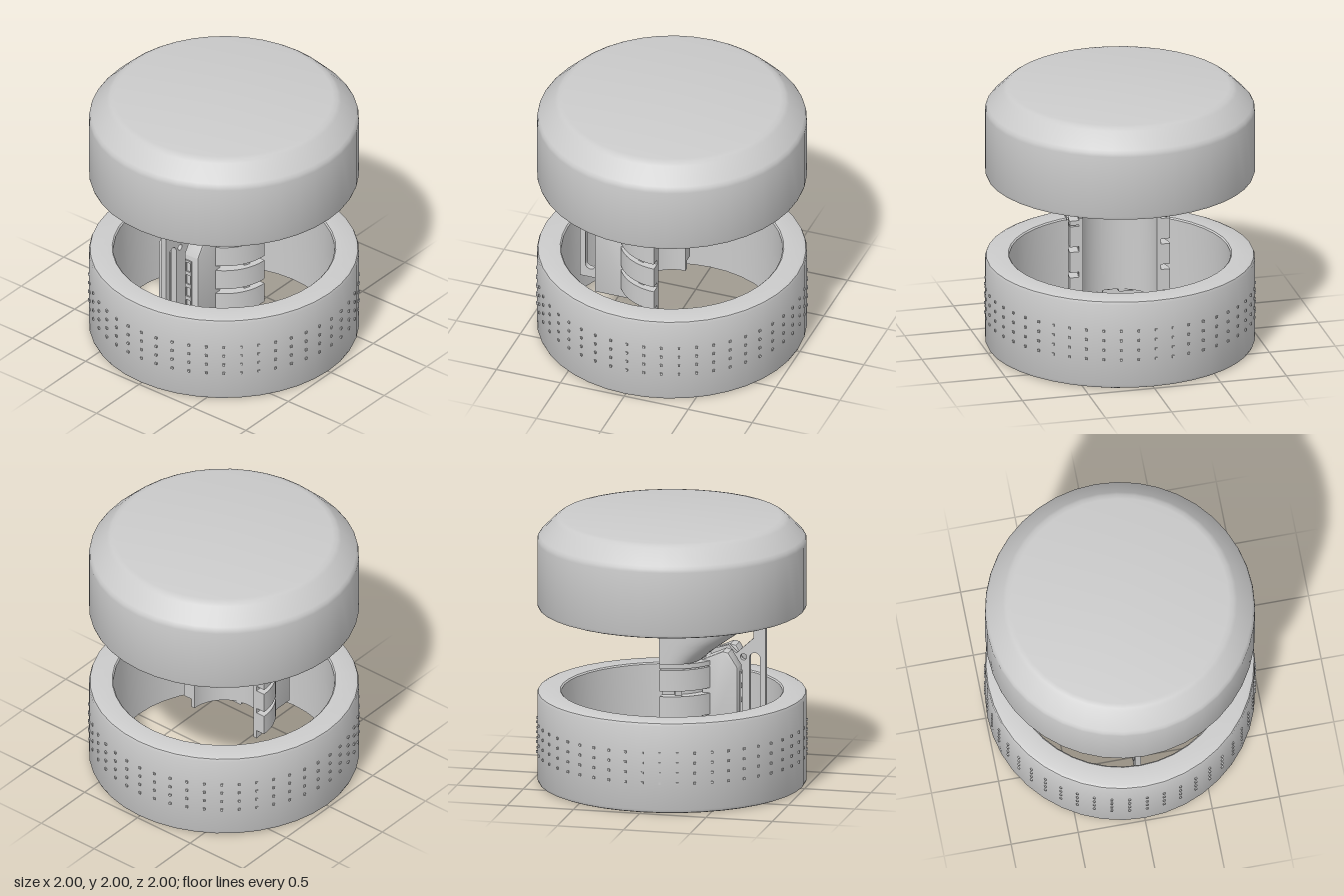
import * as THREE from 'three';
import { toCreasedNormals } from 'three/addons/utils/BufferGeometryUtils.js';

const mat = new THREE.MeshStandardMaterial({ color: 0xcccccc, side: THREE.DoubleSide });
const SEGMENTS = 40;

function add(parent, name, geometry) {
  const mesh = new THREE.Mesh(geometry, mat);
  mesh.name = name;
  parent.add(mesh);
  return mesh;
}

function lathe(profile, start = 0, sweep = Math.PI * 2, segments = SEGMENTS) {
  const pts = profile.map(([r, y]) => new THREE.Vector2(r, y));
  return toCreasedNormals(new THREE.LatheGeometry(pts, segments, start, sweep), 0.75);
}

const polygon = (pts) => new THREE.Shape(pts.map(([a, b]) => new THREE.Vector2(a, b)));

// Side profile given as (z, y), extruded along x and centred on the given x
function sidePlate(shape, thickness, x = 0, bevel = 0) {
  const g = new THREE.ExtrudeGeometry(shape, {
    depth: thickness - 2 * bevel, curveSegments: 8, bevelEnabled: bevel > 0,
    bevelSize: bevel, bevelThickness: bevel, bevelOffset: -bevel, bevelSegments: 2,
  });
  g.translate(0, 0, -thickness / 2 + bevel);
  g.rotateY(-Math.PI / 2);
  g.translate(x, 0, 0);
  return g;
}

// Half annulus on the front side, between two heights
function halfBand(outer, inner, y0, y1) {
  const s = new THREE.Shape();
  s.absarc(0, 0, outer, 0, Math.PI, false);
  s.absarc(0, 0, inner, Math.PI, 0, true);
  s.closePath();
  const g = new THREE.ExtrudeGeometry(s, { depth: y1 - y0, bevelEnabled: false, curveSegments: 20 });
  g.rotateX(Math.PI / 2);
  g.translate(0, y1, 0);
  return toCreasedNormals(g, 0.6);
}

// Half shell lofted through [y, halfWidth, depth] cross-sections
function halfFunnel(sections, n = 24) {
  const pos = [], index = [];
  for (const [y, w, d] of sections) {
    for (let i = 0; i <= n; i++) {
      const t = (i / n) * Math.PI, c = Math.cos(t);
      pos.push(w * Math.sign(c) * Math.abs(c) ** 0.6, y, d * Math.sin(t) ** 0.7);
    }
  }
  for (let j = 0; j < sections.length - 1; j++) {
    for (let i = 0; i < n; i++) {
      const a = j * (n + 1) + i, b = a + n + 1;
      index.push(a, b, a + 1, b, b + 1, a + 1);
    }
  }
  const g = new THREE.BufferGeometry();
  g.setAttribute('position', new THREE.Float32BufferAttribute(pos, 3));
  g.setIndex(index);
  g.computeVertexNormals();
  return g;
}

export function createModel() {
  const model = new THREE.Group();
  model.name = 'model';

  // Lower open ring
  add(model, 'lowerRing', lathe([
    [0.81, 0], [0.96, 0], [0.98, 0.008], [0.99, 0.03], [0.99, 0.66],
    [0.982, 0.68], [0.96, 0.69], [0.82, 0.69], [0.81, 0.68], [0.81, 0],
  ]));

  // Rows of small studs around the ring
  const studs = new THREE.Group();
  studs.name = 'ringStuds';
  model.add(studs);
  const studGeometry = new THREE.BoxGeometry(0.017, 0.017, 0.02);
  for (const y of [0.23, 0.305, 0.38, 0.455]) {
    for (let i = 0; i < 48; i++) {
      const a = (i / 48) * Math.PI * 2 + 0.016;
      const stud = add(studs, 'stud', studGeometry);
      stud.position.set(Math.sin(a) * 0.988, y, Math.cos(a) * 0.988);
      stud.rotation.y = a;
    }
  }

  // Upper cap, hollow underneath
  add(model, 'upperCap', lathe([
    [0, 1.63], [0.81, 1.63], [0.81, 1.33], [0.82, 1.32], [0.96, 1.32], [0.982, 1.328],
    [0.99, 1.35], [0.99, 1.82], [0.985, 1.845], [0.97, 1.865], [0.86, 1.975],
    [0.835, 1.993], [0.8, 2], [0, 2],
  ].slice()));

  const core = new THREE.Group();
  core.name = 'core';
  model.add(core);

  // Half flange under the cap
  add(core, 'flange', lathe([
    [0, 1.28], [0.64, 1.28], [0.685, 1.315], [0.685, 1.34], [0, 1.34],
  ], -Math.PI / 2, Math.PI, 24));

  // Funnel, open at the back
  add(core, 'funnel', halfFunnel([
    [0.98, 0.4, 0.27], [1.04, 0.4, 0.34], [1.12, 0.4, 0.45],
    [1.19, 0.4, 0.55], [1.24, 0.4, 0.57], [1.28, 0.4, 0.57],
  ]));
  // Sloping shoulders joining funnel and flange
  for (const s of [-1, 1]) {
    const shoulder = add(core, 'funnelShoulder', new THREE.ExtrudeGeometry(
      polygon([[0.39 * s, 1.24], [0.64 * s, 1.28], [0.39 * s, 1.28]]),
      { depth: 0.12, bevelEnabled: false }));
    shoulder.position.z = 0.001;
  }

  // Stack of half bands around a thin liner
  add(core, 'liner', halfBand(0.31, 0.28, 0.3, 0.99));
  for (const y of [0.37, 0.57, 0.77]) add(core, 'band', halfBand(0.38, 0.3, y, y + 0.16));
  add(core, 'topBand', halfBand(0.38, 0.3, 0.94, 0.975));
  for (const a of [0.12, 0.5, 0.88]) {
    const t = a * Math.PI;
    const key = add(core, 'bandKey', new THREE.BoxGeometry(0.05, 0.66, 0.05));
    key.position.set(Math.cos(t) * 0.315, 0.64, Math.sin(t) * 0.315);
    key.rotation.y = -t;
  }

  // Pair of front arms with framed windows
  const armShape = polygon([
    [0.27, 0.28], [0.54, 0.28], [0.54, 0.93], [0.47, 1.04], [0.43, 1.05], [0.27, 0.98],
  ]);
  for (const s of [-1, 1]) {
    add(core, 'frontArm', toCreasedNormals(sidePlate(armShape, 0.13, s * 0.12, 0.015), 0.6));
    for (let i = 0; i < 5; i++) {
      const y = 0.35 + i * 0.108;
      const frame = polygon([[-0.028, 0], [0.028, 0], [0.028, 0.108], [-0.028, 0.108]]);
      frame.holes.push(polygon([[-0.018, 0.012], [-0.018, 0.09], [0.018, 0.09], [0.018, 0.012]]));
      const mesh = add(core, 'armWindow', new THREE.ExtrudeGeometry(frame, { depth: 0.015, bevelEnabled: false }));
      mesh.position.set(s * 0.1, y, 0.535);
    }
  }

  // Thin centre rib with a long slot and a round hole
  const rib = polygon([
    [0.3, 0.29], [0.71, 0.29], [0.71, 1.32], [0.56, 1.32], [0.57, 1.25],
    [0.62, 1.2], [0.62, 1.12], [0.49, 1.0], [0.43, 1.06], [0.3, 1.02],
  ]);
  const slot = new THREE.Path();
  slot.absarc(0.63, 0.97, 0.04, 0, Math.PI, false);
  slot.absarc(0.63, 0.4, 0.04, Math.PI, Math.PI * 2, false);
  slot.closePath();
  const hole = new THREE.Path();
  hole.absarc(0.545, 0.975, 0.024, 0, Math.PI * 2, true);
  rib.holes.push(slot, hole);
  add(core, 'centreRib', sidePlate(rib, 0.045));

  return model;
}
